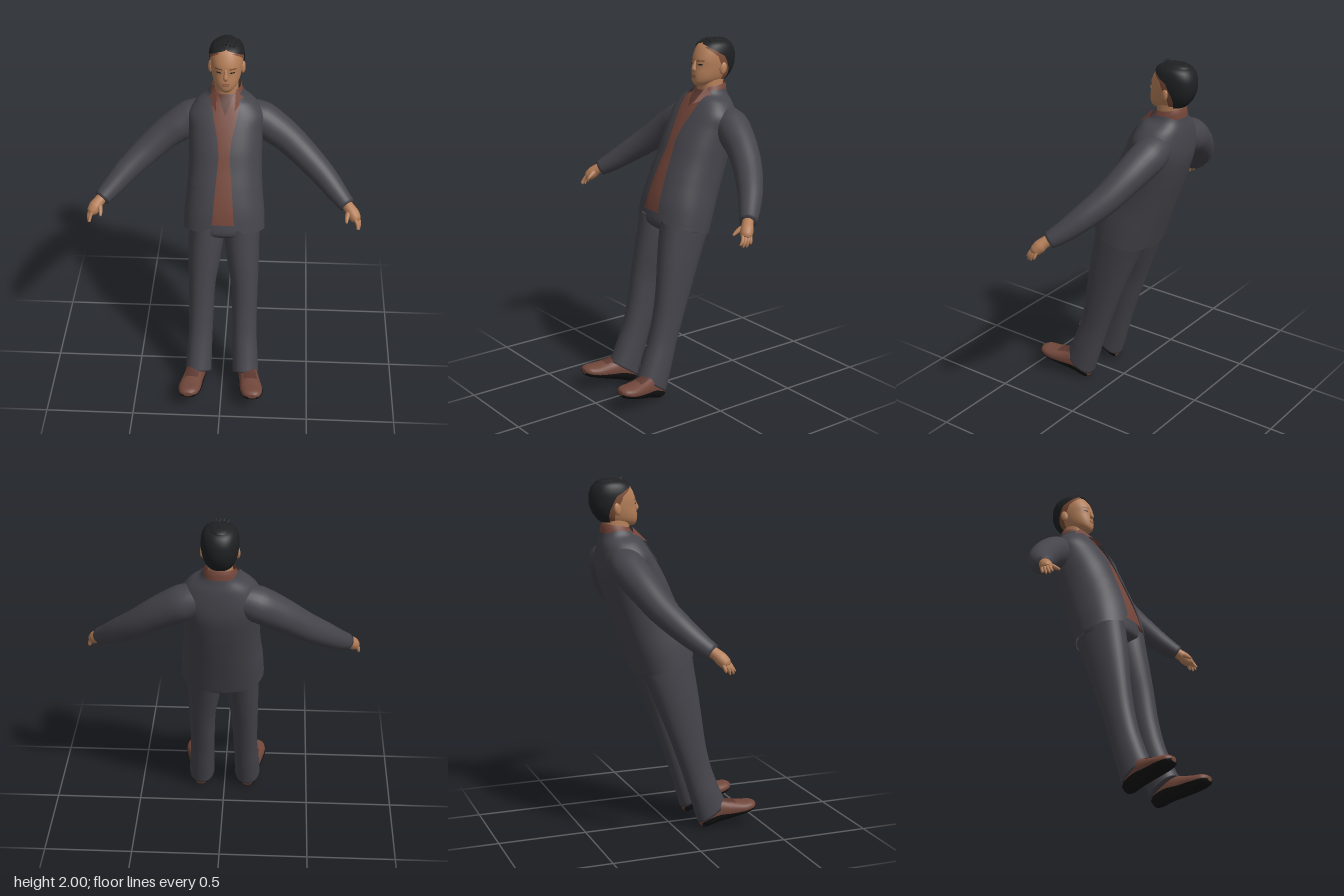
import * as THREE from 'three';

const mat = (name, color) => {
  const m = new THREE.MeshStandardMaterial({ color, side: THREE.DoubleSide });
  m.name = name;
  return m;
};
const lerp = THREE.MathUtils.lerp;

// Linear look-up in a table of [key, value] pairs
const table = (rows, k) => {
  for (let i = 1; i < rows.length; i++) {
    const [a, va] = rows[i - 1], [b, vb] = rows[i];
    if (k <= b) return lerp(va, vb, Math.max(0, (k - a) / (b - a)));
  }
  return rows[rows.length - 1][1];
};

// Grid surface from fn(u, v); closed joins the v ends, caps fill the u ends
function grid(fn, nu, nv, closed, caps) {
  const pos = [], idx = [], cols = closed ? nv : nv + 1, rings = [];
  for (let i = 0; i <= nu; i++) {
    const ring = [];
    for (let j = 0; j < cols; j++) ring.push(fn(i / nu, j / nv));
    rings.push(ring);
  }
  if (caps) {
    const collapse = (ring) => {
      const c = new THREE.Vector3();
      ring.forEach((p) => c.addScaledVector(p, 1 / ring.length));
      return ring.map(() => c);
    };
    rings.unshift(collapse(rings[0]));
    rings.push(collapse(rings[rings.length - 1]));
  }
  rings.forEach((r) => r.forEach((p) => pos.push(p.x, p.y, p.z)));
  for (let i = 0; i < rings.length - 1; i++) for (let j = 0; j < nv; j++) {
    const k = (j + 1) % cols, a = i * cols + j, b = i * cols + k;
    idx.push(a, b, a + cols, b, b + cols, a + cols);
  }
  const g = new THREE.BufferGeometry();
  g.setAttribute('position', new THREE.Float32BufferAttribute(pos, 3));
  g.setIndex(idx);
  g.computeVertexNormals();
  return g;
}

// Body surface through sections [xCentre, yFront, zFront, yBack, zBack, halfWidth]
function surface(rows, p = 2.2) {
  const n = rows.length - 1;
  const at = (t) => {
    const f = Math.min(Math.max(t, 0), 1) * n, i = Math.min(Math.floor(f), n - 1), w = f - i;
    const r = (k) => rows[Math.min(Math.max(k, 0), n)];
    return rows[i].map((b, c) => {
      const a = r(i - 1)[c], d = r(i + 1)[c], e = r(i + 2)[c];
      return b + 0.5 * w * (d - a + w * (2 * a - 5 * b + 4 * d - e + w * (3 * (b - d) + e - a)));
    });
  };
  const pt = (t, a, off = 0) => {
    const [x, yf, zf, yb, zb, hw] = at(t), s = Math.sin(a), c = Math.cos(a);
    const e = (v) => Math.sign(v) * Math.abs(v) ** (2 / p);
    const half = Math.hypot(yf - yb, zf - zb) / 2, k = 0.5 * e(c) * (1 + off / half);
    return new THREE.Vector3(x + e(s) * (hw + off), (yf + yb) / 2 + k * (yf - yb), (zf + zb) / 2 + k * (zf - zb));
  };
  const tAt = (y) => {
    let lo = 0, hi = 1;
    for (let i = 0; i < 30; i++) { const m = (lo + hi) / 2; if (at(m)[1] < y) lo = m; else hi = m; }
    return lo;
  };
  const ang = (t, x) => Math.sign(x) * Math.asin(Math.min(1, (Math.abs(x) / at(t)[5]) ** (p / 2)));
  const loft = (nu = 32, nv = 32) => grid((u, v) => pt(u, v * Math.PI * 2), nu, nv, true, true);
  const patch = (t0, t1, lo, hi, off = 0, nu = 20, nv = 16) => grid((u, v) => {
    const t = lerp(t0, t1, u);
    return pt(t, lerp(lo(t), hi(t), v), off);
  }, nu, nv, false, false);
  // patch between two front heights and two x positions
  const xPatch = (y0, y1, x0, x1, off, nu, nv) => {
    const f = (x) => (t) => ang(t, typeof x === 'function' ? x(at(t)[1]) : x);
    return patch(tAt(y0), tAt(y1), f(x0), f(x1), off, nu, nv);
  };
  return { at, pt, tAt, ang, loft, patch, xPatch };
}

// Round limb through points [x, y, z, radius]
function limb(pts, nu = 24, nv = 20) {
  const curve = new THREE.CatmullRomCurve3(pts.map((q) => new THREE.Vector3(q[0], q[1], q[2])));
  const fr = curve.computeFrenetFrames(nu, false), radii = pts.map((q, i) => [i / (pts.length - 1), q[3]]);
  return grid((u, v) => {
    const i = Math.round(u * nu), r = table(radii, u), a = v * Math.PI * 2;
    return curve.getPoint(u).addScaledVector(fr.normals[i], r * Math.cos(a)).addScaledVector(fr.binormals[i], r * Math.sin(a));
  }, nu, nv, true, true);
}

export function createModel() {
  const suit = mat('suit charcoal', 0x45444b), skin = mat('skin', 0xb57f59), shirt = mat('shirt russet', 0x74463a);
  const under = mat('undershirt', 0x5a372f), hair = mat('hair black', 0x1e2022), fade = mat('cropped hair brown', 0x7d4c36);
  const shoe = mat('shoe leather', 0x71473b), sole = mat('sole black', 0x131314), lip = mat('lips', 0x94604a);
  const model = new THREE.Group();
  model.name = 'leaningMan';
  const add = (parent, name, geo, m) => {
    const mesh = new THREE.Mesh(geo, m);
    mesh.name = name;
    parent.add(mesh);
    return mesh;
  };

  const torso = surface([
    [0, 1.02, 0.12, 0.91, -0.21, 0.23], [0, 1.13, 0.095, 1.02, -0.25, 0.224], [0, 1.25, 0.05, 1.14, -0.295, 0.211],
    [0, 1.36, 0, 1.25, -0.335, 0.205], [0, 1.45, -0.04, 1.35, -0.37, 0.205], [0, 1.54, -0.09, 1.45, -0.4, 0.208],
    [0, 1.61, -0.135, 1.53, -0.408, 0.212], [0, 1.665, -0.175, 1.62, -0.403, 0.165],
    [0, 1.69, -0.2, 1.68, -0.39, 0.108], [0, 1.71, -0.215, 1.715, -0.382, 0.09]], 2.3);
  const head = surface([
    [0, 1.735, -0.2, 1.735, -0.34, 0.035], [0, 1.75, -0.189, 1.75, -0.37, 0.052], [0, 1.77, -0.186, 1.77, -0.395, 0.067],
    [0, 1.8, -0.187, 1.8, -0.42, 0.078], [0, 1.84, -0.194, 1.84, -0.438, 0.086], [0, 1.88, -0.197, 1.88, -0.443, 0.089],
    [0, 1.92, -0.212, 1.92, -0.438, 0.087], [0, 1.955, -0.235, 1.955, -0.42, 0.076],
    [0, 1.975, -0.265, 1.975, -0.39, 0.054], [0, 1.985, -0.3, 1.985, -0.35, 0.022]]);

  // Jacket body, open at the front
  const gapX = (y) => table([[1.02, 0.12], [1.045, 0.08], [1.08, 0.06], [1.25, 0.047], [1.42, 0.03], [1.5, 0.036],
    [1.6, 0.062], [1.67, 0.075], [1.71, 0.078]], y);
  const gap = (t) => torso.ang(t, gapX(torso.at(t)[1]));
  add(model, 'jacketBody', torso.patch(0, 1, gap, (t) => Math.PI * 2 - gap(t), 0, 60, 56), suit);
  add(model, 'shirtFront', torso.patch(torso.tAt(1.065), 1, () => -1.1, () => 1.1, -0.012, 40, 24), shirt);
  const vee = (y) => table([[1.62, 0], [1.71, 0.045]], y);
  add(model, 'undershirtNeck', torso.xPatch(1.62, 1.71, (y) => -vee(y), vee, -0.005, 8, 6), under);
  add(model, 'hips', surface([[0, 0.95, 0.06, 0.87, -0.13, 0.1], [0, 0.99, 0.1, 0.89, -0.185, 0.19],
    [0, 1.06, 0.09, 0.95, -0.205, 0.205], [0, 1.16, 0.06, 1.06, -0.24, 0.2]]).loft(), suit);

  // Neck, collar and head
  add(model, 'neck', surface([[0, 1.62, -0.225, 1.64, -0.37, 0.07], [0, 1.7, -0.233, 1.7, -0.37, 0.067],
    [0, 1.78, -0.225, 1.78, -0.385, 0.064]]).loft(10), skin);
  add(model, 'shirtCollar', surface([[0, 1.67, -0.19, 1.7, -0.39, 0.096], [0, 1.7, -0.215, 1.73, -0.388, 0.088],
    [0, 1.725, -0.23, 1.75, -0.382, 0.08]]).patch(0, 1, (t) => 0.35 + 0.4 * t, (t) => Math.PI * 2 - 0.35 - 0.4 * t, 0, 8, 32), shirt);
  add(model, 'head', head.loft(40, 40), skin);
  add(model, 'nose', limb([[0, 1.872, -0.2, 0.006], [0, 1.845, -0.19, 0.01], [0, 1.825, -0.186, 0.014], [0, 1.812, -0.192, 0.008]], 12, 12), skin);
  add(model, 'upperLip', head.xPatch(1.79, 1.796, -0.021, 0.021, 0.003, 3, 8), lip);
  add(model, 'lowerLip', head.xPatch(1.779, 1.788, -0.018, 0.018, 0.004, 3, 8), lip);

  // Hair: cut back along a hairline angle that depends on height
  const hairAngle = (y) => table([[1.755, 2.25], [1.8, 2.05], [1.85, 1.8], [1.9, 1.6], [1.93, 1.15], [1.955, 0.55], [1.968, 0]], y);
  const hairShell = (name, y0, y1, shift, off, m) => {
    const lo = (t) => Math.max(0, hairAngle(head.at(t)[1]) - shift);
    add(model, name, head.patch(head.tAt(y0), y1, lo, (t) => Math.PI * 2 - lo(t), off, 36, 40), m);
  };
  hairShell('hair', 1.755, 1, 0, 0.009, hair);
  hairShell('croppedSides', 1.745, head.tAt(1.95), 0.28, 0.003, fade);
  add(model, 'hairCrown', new THREE.SphereGeometry(1, 24, 12), hair).position.set(0, 1.965, -0.335);
  model.getObjectByName('hairCrown').scale.set(0.062, 0.027, 0.082);
  for (let row = 0; row < 4; row++) for (let i = -2; i <= 2; i++) {
    const tuft = add(model, 'hairTuft', new THREE.ConeGeometry(0.013, 0.036, 6), hair);
    tuft.position.set(i * 0.019 + (row % 2) * 0.006, 1.984 - Math.abs(i) * 0.006 - (row === 3 ? 0.006 : 0), -0.272 - row * 0.032);
    tuft.rotation.set(0.5 - row * 0.25, 0, -i * 0.2);
  }

  // Trouser leg sections, hem to hip, and shoe sections, toe to heel
  const leg = surface([[0.138, 0.15, 0.29, 0.035, 0.13, 0.076], [0.134, 0.24, 0.25, 0.17, 0.088, 0.073],
    [0.128, 0.36, 0.205, 0.31, 0.045, 0.07], [0.125, 0.5, 0.172, 0.44, 0, 0.072], [0.122, 0.65, 0.15, 0.59, -0.055, 0.077],
    [0.111, 0.8, 0.13, 0.73, -0.11, 0.09], [0.102, 0.93, 0.11, 0.85, -0.16, 0.099], [0.1, 1.03, 0.095, 0.93, -0.195, 0.1]]);
  const foot = surface([[0.184, 0.136, 0.457, 0.11, 0.458, 0.022], [0.182, 0.147, 0.43, 0.094, 0.441, 0.05],
    [0.178, 0.147, 0.375, 0.075, 0.39, 0.064], [0.166, 0.157, 0.295, 0.05, 0.31, 0.059], [0.152, 0.17, 0.22, 0.03, 0.24, 0.055],
    [0.144, 0.14, 0.15, 0.008, 0.18, 0.05], [0.141, 0.08, 0.125, 0.008, 0.15, 0.032]]);

  for (const s of [1, -1]) {
    const side = new THREE.Group();
    side.name = s > 0 ? 'leftSide' : 'rightSide';
    side.scale.x = s;
    model.add(side);

    // Jacket details
    add(side, 'lapel', torso.xPatch(1.42, 1.69, gapX, (y) => gapX(y) + table([[1.42, 0], [1.58, 0.07], [1.6, 0.045], [1.69, 0.025]], y), 0.006, 24, 8), suit);
    add(side, 'pocketFlap', torso.xPatch(1.27, 1.315, 0.11, 0.192, 0.005, 4, 10), suit);
    const wing = new THREE.BufferGeometry().setFromPoints([[0.05, 1.645, -0.142], [0.1, 1.685, -0.235], [0.056, 1.73, -0.228]]
      .map((q) => new THREE.Vector3(...q)));
    wing.computeVertexNormals();
    add(side, 'collarWing', wing, shirt);

    // Arm and hand
    add(side, 'sleeve', limb([[0.1, 1.555, -0.3, 0.085], [0.19, 1.525, -0.3, 0.098], [0.27, 1.478, -0.28, 0.094], [0.35, 1.424, -0.255, 0.086],
      [0.45, 1.343, -0.208, 0.078], [0.555, 1.258, -0.137, 0.068], [0.63, 1.19, -0.07, 0.057], [0.685, 1.145, -0.015, 0.046]], 40, 28), suit);
    add(side, 'palm', limb([[0.675, 1.155, -0.025, 0.03], [0.7, 1.135, 0.002, 0.031], [0.718, 1.115, 0.02, 0.035],
      [0.733, 1.093, 0.038, 0.031], [0.74, 1.082, 0.046, 0.02]], 14, 14), skin);
    [[0.738, 0.062, 0.744, 1.052, 0.086], [0.745, 0.05, 0.752, 1.042, 0.073], [0.749, 0.037, 0.756, 1.04, 0.053], [0.748, 0.022, 0.758, 1.052, 0.03]]
      .forEach(([x, z, tx, ty, tz]) => add(side, 'finger', limb([[x - 0.016, 1.108, z - 0.012, 0.011], [x, 1.085, z, 0.0105],
        [(x + tx) / 2 + 0.004, 1.065, (z + tz) / 2, 0.009], [tx, ty, tz, 0.005]], 10, 10), skin));
    add(side, 'thumb', limb([[0.7, 1.13, 0.01, 0.014], [0.688, 1.118, 0.04, 0.014], [0.683, 1.104, 0.062, 0.011], [0.682, 1.09, 0.082, 0.006]], 10, 10), skin);

    // Face
    const ear = add(side, 'ear', new THREE.SphereGeometry(1, 16, 12), skin);
    ear.position.set(0.09, 1.83, -0.322);
    ear.scale.set(0.012, 0.034, 0.021);
    ear.rotation.set(-0.2, -0.3, 0);
    add(side, 'eye', head.xPatch(1.851, 1.858, 0.024, 0.048, 0.002, 3, 6), hair);
    add(side, 'eyebrow', head.xPatch(1.872, 1.879, 0.018, 0.056, 0.003, 3, 8), fade);

    // Leg and shoe
    add(side, 'trouserLeg', leg.loft(48, 32), suit);
    add(side, 'shoe', foot.loft(36, 32), shoe);
    add(side, 'sole', foot.patch(0, 1, () => Math.PI - 1.35, () => Math.PI + 1.35, 0.004, 36, 20), sole);
    add(side, 'shoeTongue', foot.patch(0.42, 0.7, () => -0.6, () => 0.6, 0.003, 10, 10), under);
  }
  return model;
}
